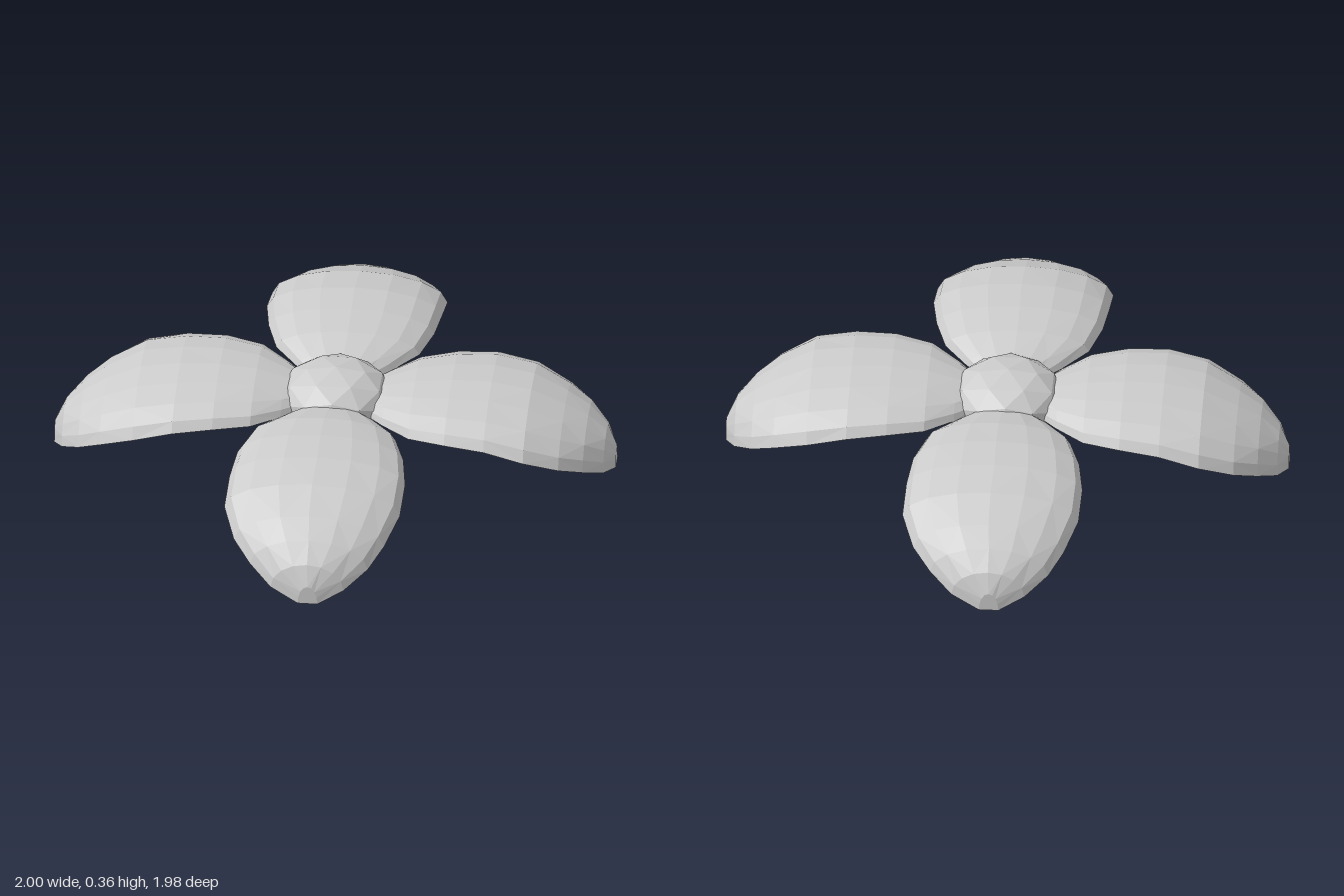
import * as THREE from 'three';

const material = new THREE.MeshStandardMaterial({ color: 0xcccccc, flatShading: true });

// Petal stations along +z: [distance, x of right edge, x of left edge, underside y, crown y]
const STATIONS = [
  [0.10, -0.09, 0.08, 0.23, 0.28],
  [0.18, -0.18, 0.16, 0.238, 0.30],
  [0.28, -0.27, 0.24, 0.245, 0.325],
  [0.41, -0.31, 0.28, 0.248, 0.337],
  [0.55, -0.325, 0.30, 0.235, 0.333],
  [0.69, -0.33, 0.295, 0.195, 0.308],
  [0.81, -0.285, 0.25, 0.14, 0.25],
  [0.89, -0.22, 0.20, 0.092, 0.20],
  [0.955, -0.14, 0.12, 0.04, 0.14],
  [0.99, -0.04, 0.03, 0.0, 0.07],
];
const TOP = 8; // crown segments across
const BOTTOM = 4; // underside segments across

// Domed, drooping petal lofted through the stations
function petalGeometry(lift) {
  const n = TOP + BOTTOM;
  const positions = [];
  const index = [];
  for (const [z, x0, x1, low, high] of STATIONS) {
    const mid = (x0 + x1) / 2;
    const half = (x1 - x0) / 2;
    const rise = lift * z * z;
    for (let j = 0; j < n; j++) {
      if (j <= TOP) {
        const a = (j / TOP) * Math.PI;
        positions.push(mid + half * Math.cos(a), low + rise + (high - low) * Math.sin(a), z);
      } else {
        const u = -1 + (2 * (j - TOP)) / BOTTOM;
        positions.push(mid + half * u, low + rise + 0.12 * (high - low) * (1 - u * u), z);
      }
    }
  }
  const last = (STATIONS.length - 1) * n;
  for (let i = 0; i < last; i += n) {
    for (let j = 0; j < n; j++) {
      const k = (j + 1) % n;
      const a = i + j, b = i + k, c = i + n + k, d = i + n + j;
      if ((i / n + j) % 2) index.push(a, b, c, a, c, d);
      else index.push(a, b, d, b, c, d);
    }
  }
  // End caps
  for (let j = 1; j < n - 1; j++) {
    index.push(0, j + 1, j, last, last + j, last + j + 1);
  }
  const geometry = new THREE.BufferGeometry();
  geometry.setAttribute('position', new THREE.Float32BufferAttribute(positions, 3));
  geometry.setIndex(index);
  geometry.computeVertexNormals();
  return geometry;
}

export function createModel() {
  const flower = new THREE.Group();
  flower.name = 'flower';

  // Four petals turned about the centre
  const petals = [
    ['frontPetal', 0, 1],
    ['leftPetal', 0.025, 1.01],
    ['backPetal', 0.025, 1],
    ['rightPetal', 0, 1.01],
  ];
  petals.forEach(([name, lift, stretch], i) => {
    const petal = new THREE.Mesh(petalGeometry(lift), material);
    petal.name = name;
    petal.scale.z = stretch;
    petal.rotation.y = (i * Math.PI) / 2;
    flower.add(petal);
  });

  // Flattened faceted centre
  const centre = new THREE.Mesh(new THREE.IcosahedronGeometry(1, 1), material);
  centre.name = 'flowerCentre';
  centre.scale.set(0.197, 0.11, 0.197);
  centre.position.y = 0.25;
  flower.add(centre);

  return flower;
}
